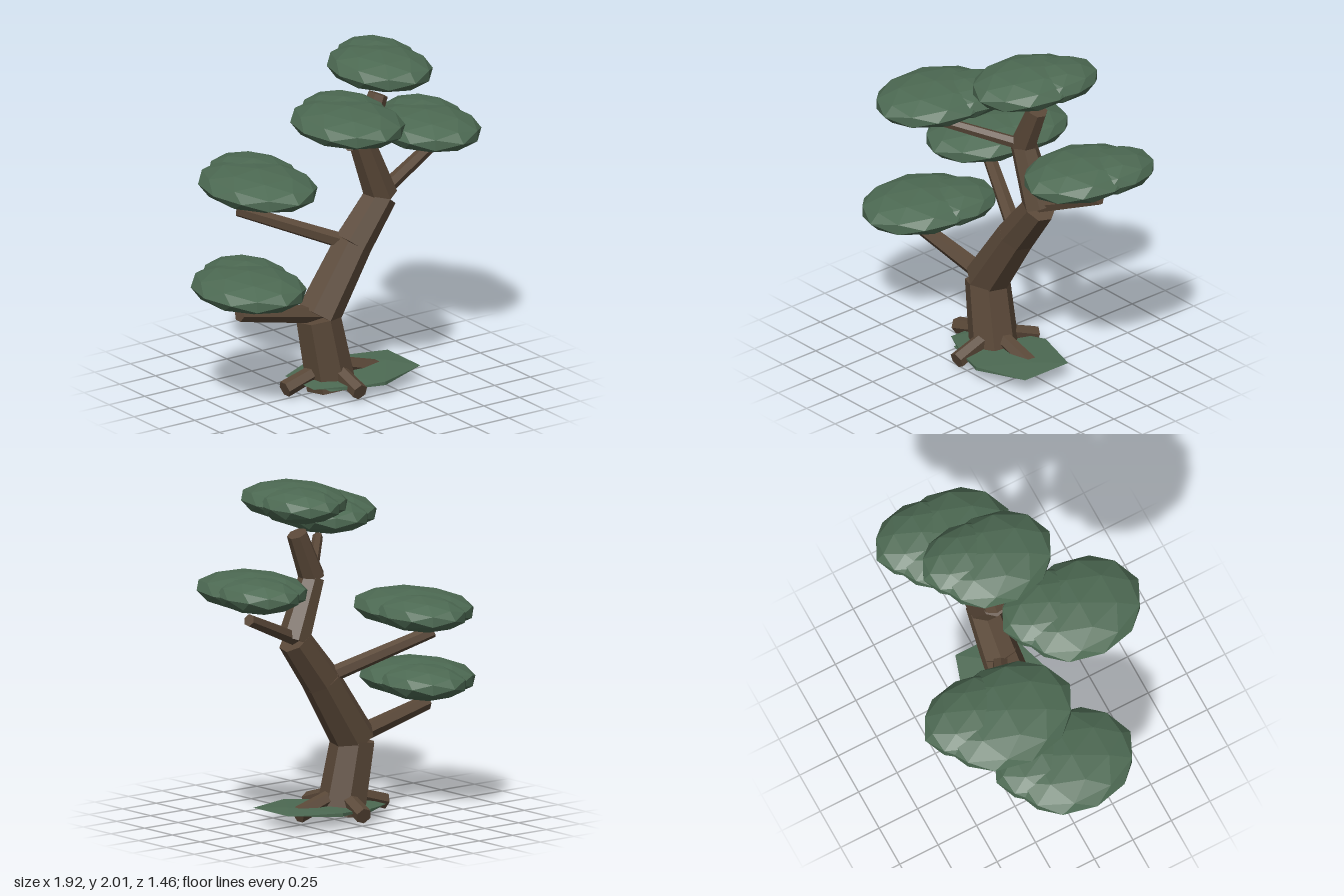
import * as THREE from 'three';

export function createModel() {
  const model = new THREE.Group();
  model.name = 'bonsaiTree';

  const bark = new THREE.MeshStandardMaterial({ color: 0x5a4838 });
  bark.name = 'bark brown';
  bark.flatShading = true;
  const leaf = new THREE.MeshStandardMaterial({ color: 0x4d6a53 });
  leaf.name = 'leaf green';
  leaf.flatShading = true;

  const up = new THREE.Vector3(0, 1, 0);

  // Tapered faceted log between two points
  function log(name, from, to, r0, r1, sides) {
    const a = new THREE.Vector3(...from);
    const b = new THREE.Vector3(...to);
    const dir = b.clone().sub(a);
    const mesh = new THREE.Mesh(new THREE.CylinderGeometry(r1, r0, dir.length(), sides), bark);
    mesh.position.copy(a).add(b).multiplyScalar(0.5);
    mesh.quaternion.setFromUnitVectors(up, dir.normalize());
    mesh.name = name;
    model.add(mesh);
  }

  // Squashed faceted blob of foliage
  function blob(name, parent, pos, radii, detail) {
    const mesh = new THREE.Mesh(new THREE.IcosahedronGeometry(1, detail), leaf);
    mesh.position.set(...pos);
    mesh.scale.set(...radii);
    mesh.name = name;
    parent.add(mesh);
    return mesh;
  }

  // Winding trunk: points with the radius at each joint
  const trunk = [
    [-0.05, 0.02, 0], [-0.13, 0.45, -0.015], [0.12, 0.83, -0.025],
    [0.32, 1.09, -0.025], [0.183, 1.44, -0.02], [0.30, 1.71, -0.025],
  ];
  const radii = [0.147, 0.132, 0.115, 0.098, 0.077, 0.06];
  for (let i = 0; i < trunk.length - 1; i++) {
    log('trunk' + (i + 1), trunk[i], trunk[i + 1], radii[i], radii[i + 1], 7);
  }

  // Branches reaching towards the foliage pads
  log('lowerBranch', [-0.13, 0.46, -0.01], [-0.7, 0.583, 0.02], 0.055, 0.045, 6);
  log('backBranch', [0.1, 0.84, -0.03], [-0.485, 1.08, -0.3], 0.048, 0.038, 6);
  log('leftBranch', [0.32, 1.1, -0.025], [0.735, 1.275, -0.12], 0.045, 0.037, 6);
  log('frontBranch', [0.19, 1.44, -0.02], [-0.14, 1.58, 0.32], 0.036, 0.03, 6);

  // Surface roots
  const rootTips = [[-0.37, 0.053, 0], [0.27, 0.053, 0], [-0.045, 0.053, 0.29], [0, 0.053, -0.265]];
  rootTips.forEach((tip, i) => log('root' + (i + 1), [-0.05, 0.15, 0], tip, 0.045, 0.05, 6));

  // Foliage pads: centre of the main blob, then width and depth factors
  const pads = [
    [-0.65, 0.74, 0.04, 1.08, 1.06],
    [-0.387, 1.225, -0.245, 1.08, 1.15],
    [0.655, 1.43, -0.05, 1.01, 1.045],
    [-0.17, 1.735, 0.345, 1.06, 1.07],
    [0.275, 1.895, 0.03, 0.97, 1.0],
  ];
  pads.forEach(([x, y, z, kx, kz], i) => {
    const pad = new THREE.Group();
    pad.name = 'foliagePad' + (i + 1);
    pad.position.set(x, y, z);
    blob('mainFoliage', pad, [0, 0, 0], [0.29 * kx, 0.105, 0.36 * kz], 1);
    blob('sideFoliage', pad, [0.08 * kx, 0.002, -0.14 * kz], [0.22 * kx, 0.1, 0.28 * kz], 1);
    model.add(pad);
  });

  // Thin moss patch around the roots
  const moss = blob('mossPatch', model, [0.13, 0.072, 0.03], [0.37, 0.02, 0.31], 0);
  moss.rotation.z = 0.05;
  blob('smallMossPatch', model, [-0.08, 0.07, 0], [0.22, 0.018, 0.27], 0);

  return model;
}
